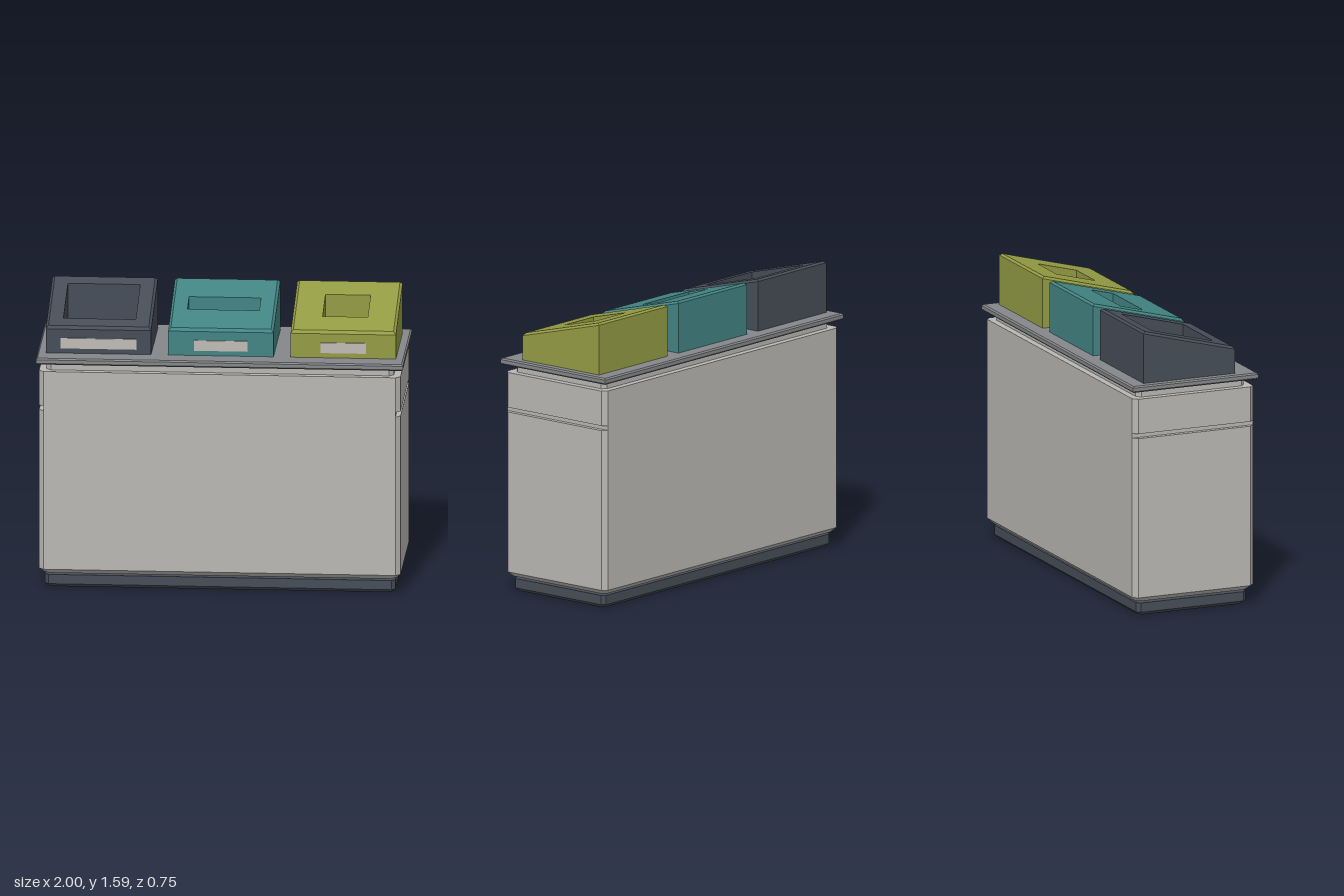
import * as THREE from 'three';

const mat = (name, color, opts = {}) => Object.assign(new THREE.MeshStandardMaterial({ color, ...opts }), { name });

// Octagon (rectangle with cut corners), counter-clockwise seen from above: [x, z]
const octagon = (w, d, c) => [
  [w, d - c], [w, c - d], [w - c, -d], [c - w, -d],
  [-w, c - d], [-w, d - c], [c - w, d], [w - c, d],
];

// Joins rings of [x, y, z] points from bottom to top with flat faces
function loft(rings, capped) {
  const pos = [];
  const tri = (a, b, c) => pos.push(...a, ...b, ...c);
  for (let r = 0; r < rings.length - 1; r++) {
    const a = rings[r], b = rings[r + 1], n = a.length;
    for (let i = 0; i < n; i++) {
      const j = (i + 1) % n;
      tri(a[i], a[j], b[j]);
      tri(a[i], b[j], b[i]);
    }
  }
  if (capped) {
    const lo = rings[0], hi = rings[rings.length - 1];
    for (let i = 1; i < lo.length - 1; i++) {
      tri(lo[0], lo[i + 1], lo[i]);
      tri(hi[0], hi[i], hi[i + 1]);
    }
  }
  const g = new THREE.BufferGeometry();
  g.setAttribute('position', new THREE.Float32BufferAttribute(pos, 3));
  g.computeVertexNormals();
  return g;
}

// Block with cut vertical corners; levels are [y, inset]
const block = (w, d, c, levels) =>
  loft(levels.map(([y, k]) => octagon(w - k, d - k, c).map(([x, z]) => [x, y, z])), true);

// Horizontal plate with rectangular openings
function plate(outline, openings, depth, bevel) {
  const shape = new THREE.Shape(outline.map(([x, z]) => new THREE.Vector2(x, -z)));
  for (const o of openings) {
    const w = o.hw + 0.002, d = o.hd + 0.002;
    shape.holes.push(new THREE.Path([[-w, -d], [-w, d], [w, d], [w, -d]]
      .map(([x, z]) => new THREE.Vector2(o.x + x, -(HOLE_Z + z)))));
  }
  const g = new THREE.ExtrudeGeometry(shape, {
    depth: depth - 2 * bevel, bevelEnabled: bevel > 0, bevelSegments: 1,
    bevelSize: bevel, bevelThickness: bevel, bevelOffset: -bevel,
  });
  return g.rotateX(-Math.PI / 2).translate(0, bevel, 0);
}

const HOLE_Z = -0.019;
const TOP = 1.30;     // counter surface
const FLOOR = 1.225;  // bottom of the chutes

export function createModel() {
  const group = new THREE.Group();
  const stone = mat('warm grey', 0xbab8b4);
  const counterGrey = mat('counter grey', 0x85878a);
  const charcoal = mat('charcoal', 0x474e58);
  const teal = mat('teal', 0x428583);
  const olive = mat('olive green', 0x949c43);
  const labelGrey = mat('label grey', 0xc0bbb5);
  const tan = mat('tan', 0xbeac8d);

  const add = (name, geometry, material, parent = group) => {
    const m = new THREE.Mesh(geometry, material);
    m.name = name;
    parent.add(m);
    return m;
  };

  // hw, hd: half size of the opening; label: label width
  const bins = [
    { name: 'charcoalBin', x: -0.667, hw: 0.197, hd: 0.183, label: 0.415, material: charcoal },
    { name: 'tealBin', x: 0, hw: 0.196, hd: 0.066, label: 0.29, material: teal },
    { name: 'oliveBin', x: 0.667, hw: 0.123, hd: 0.115, label: 0.247, material: olive },
  ];

  // Plinth and cabinet, with a groove across each side
  add('plinth', block(0.955, 0.326, 0.02, [[0, 0.018], [0.018, 0], [0.07, 0]]), charcoal);
  add('cabinetLower', block(0.985, 0.36, 0.026, [[0.082, 0.026], [0.108, 0], [1.002, 0]]), stone);
  add('cabinetGroove', new THREE.BoxGeometry(1.918, 0.03, 0.72).translate(0, 1.016, 0), stone);
  add('cabinetUpper', block(0.985, 0.36, 0.026, [[1.028, 0], [1.223, 0]]), stone);

  // Recessed neck and counter, both pierced by the chutes
  add('neck', plate(octagon(0.946, 0.322, 0.024), bins, 0.045, 0), stone).position.y = 1.222;
  add('counter', plate([[1, 0.374], [1, -0.374], [-1, -0.374], [-1, 0.374]], bins, 0.036, 0.008),
    counterGrey).position.y = TOP - 0.036;

  // Sloping bin tops with bevelled rims and open chutes
  const slope = (z) => 1.452 + 0.262 * (0.24 - z);
  const rect = (w, front, back, height) =>
    [[w, front], [w, back], [-w, back], [-w, front]].map(([x, z]) => [x, height(z), z]);

  for (const b of bins) {
    const bin = new THREE.Group();
    bin.name = b.name;
    bin.position.x = b.x;
    group.add(bin);
    const front = HOLE_Z + b.hd, back = HOLE_Z - b.hd;
    add('binTop', loft([
      rect(0.287, 0.255, -0.29, () => TOP),
      rect(0.287, 0.255, -0.29, (z) => slope(z) - 0.013),
      rect(0.273, 0.241, -0.276, slope),
      rect(b.hw, front, back, slope),
      rect(b.hw, front, back, () => FLOOR),
    ], false), b.material, bin);
    add('chuteFloor', new THREE.BoxGeometry(2 * b.hw, 0.004, 2 * b.hd)
      .translate(0, FLOOR + 0.002, HOLE_Z), tan, bin);
    add('labelPlate', new THREE.BoxGeometry(b.label, 0.058, 0.008)
      .translate(0, 1.357, 0.258), labelGrey, bin);
  }
  return group;
}
